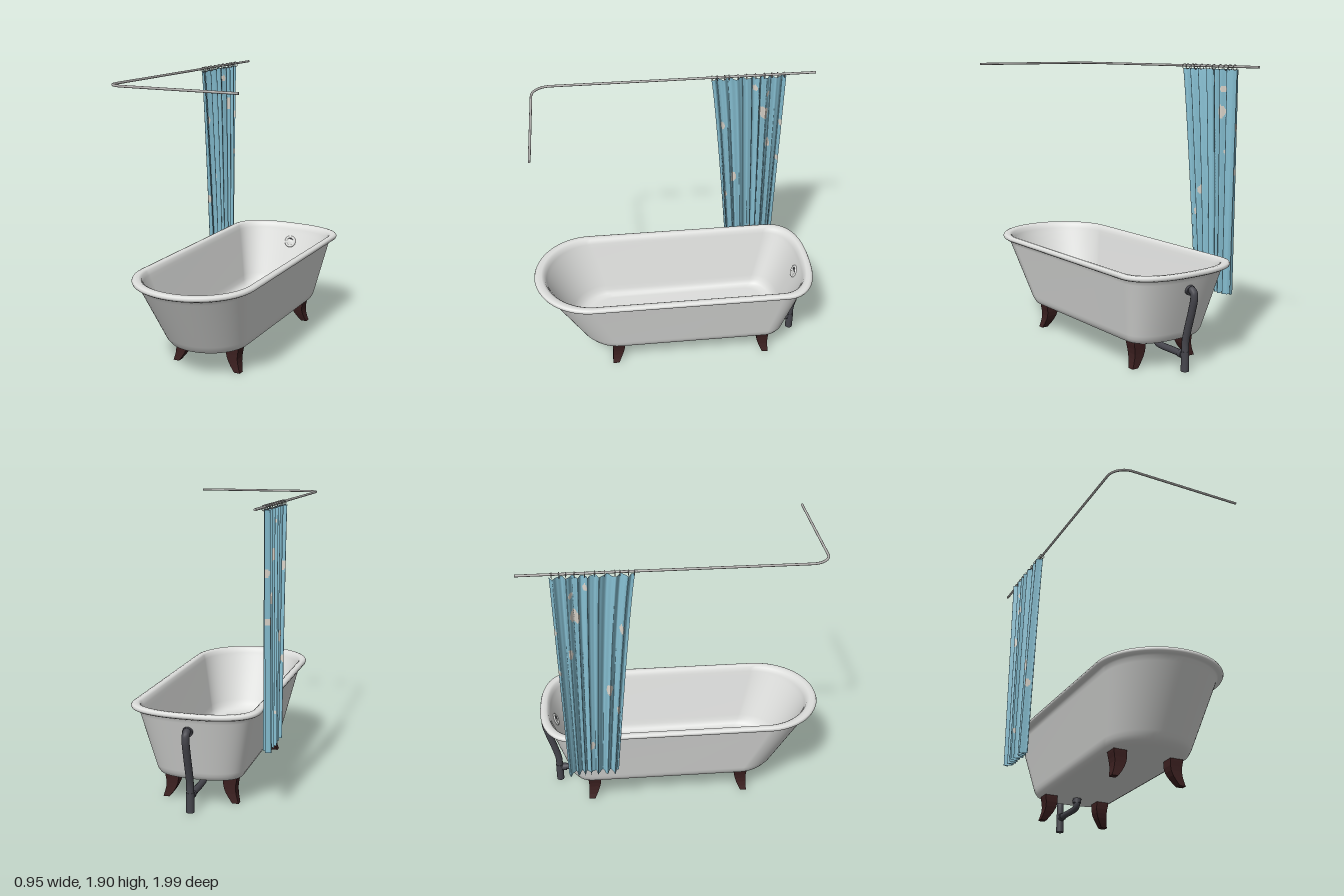
import * as THREE from 'three';

const mat = (name, color, side = THREE.FrontSide) => {
  const m = new THREE.MeshStandardMaterial({ color, side });
  m.name = name;
  return m;
};
const CX = 0.01; // centre line of the tub

export function createModel() {
  const enamel = mat('white enamel', 0xdedfdd);
  const wood = mat('dark wood', 0x3c2020);
  const iron = mat('dark iron', 0x46464d);
  const steel = mat('steel', 0xb4b2b0);
  const cloth = mat('blue cloth', 0x86bfd2, THREE.DoubleSide);
  const spot = mat('beige spots', 0xdcd6cc, THREE.DoubleSide);

  const model = new THREE.Group();
  const add = (name, geometry, material, x = 0, y = 0, z = 0) => {
    const m = new THREE.Mesh(geometry, material);
    m.name = name;
    m.position.set(x, y, z);
    model.add(m);
    return m;
  };

  // Tub: loft from the underside, up the outside, over the rolled rim, down to the floor
  add('tub', tubGeometry([
    // half width, back z, front z, y
    [0.001, -0.05, -0.045, 0.17], [0.23, -0.70, 0.60, 0.17], [0.252, -0.735, 0.635, 0.171],
    [0.275, -0.768, 0.68, 0.183], [0.288, -0.785, 0.703, 0.21], [0.294, -0.793, 0.718, 0.235],
    [0.368, -0.908, 0.935, 0.59], [0.376, -0.917, 0.95, 0.617], [0.385, -0.925, 0.96, 0.624],
    [0.402, -0.942, 0.974, 0.624], [0.415, -0.955, 0.986, 0.632], [0.42, -0.96, 0.99, 0.644],
    [0.414, -0.954, 0.984, 0.656], [0.40, -0.94, 0.968, 0.661], [0.38, -0.918, 0.94, 0.659],
    [0.367, -0.903, 0.92, 0.649], [0.358, -0.892, 0.907, 0.62], [0.352, -0.883, 0.895, 0.59],
    [0.281, -0.765, 0.748, 0.285], [0.273, -0.75, 0.728, 0.25], [0.26, -0.73, 0.70, 0.222],
    [0.24, -0.70, 0.665, 0.211], [0.22, -0.67, 0.63, 0.21], [0.001, -0.05, -0.045, 0.21],
  ]), enamel);

  // Drain and overflow fittings, both a ring around a shallow disc
  const fitting = new THREE.LatheGeometry(
    [[0.045, -0.006], [0.044, 0.004], [0.036, 0.009], [0.029, 0.005], [0.027, 0.002], [0.015, 0.006], [0, 0.007]]
      .map(p => new THREE.Vector2(...p)), 32);
  add('drain', fitting, enamel, CX, 0.212, -0.57);
  add('overflow', fitting, enamel, CX, 0.53, -0.858).rotation.x = 1.2;

  // Four tapered legs, flaring out at the foot
  for (const [sx, z0, dz] of [[1, 0.478, 1], [-1, 0.478, 1], [1, -0.652, -1], [-1, -0.652, -1]]) {
    add('leg', legGeometry(sx, z0, dz), wood, CX);
  }

  // Waste pipes behind and under the tub
  const pipe = (name, pts, r) => add(name, new THREE.TubeGeometry(
    new THREE.CatmullRomCurve3(pts.map(([z, y]) => new THREE.Vector3(CX, y, z))), 48, r, 16), iron);
  pipe('overflowPipe', [[-0.86, 0.53], [-0.9, 0.541], [-0.932, 0.528], [-0.938, 0.49], [-0.918, 0.40],
    [-0.88, 0.27], [-0.862, 0.19], [-0.86, 0.12], [-0.86, 0.06]], 0.024);
  pipe('drainPipe', [[-0.57, 0.18], [-0.57, 0.135], [-0.585, 0.112], [-0.62, 0.105], [-0.74, 0.105], [-0.86, 0.105]], 0.022);
  add('pipeFoot', new THREE.CylinderGeometry(0.026, 0.026, 0.13, 20), iron, CX, 0.065, -0.86);
  add('drainCollar', new THREE.CylinderGeometry(0.03, 0.03, 0.04, 20), iron, CX, 0.16, -0.57);
  add('pipeCollar', new THREE.CylinderGeometry(0.027, 0.027, 0.03, 20), iron, CX, 0.105, -0.825).rotation.x = Math.PI / 2;
  add('overflowCollar', new THREE.CylinderGeometry(0.033, 0.033, 0.03, 20), iron, CX, 0.535, -0.893).rotation.x = 1.35;

  // L-shaped curtain rod with a rounded bend
  const V = (x, z) => new THREE.Vector3(x, 1.89, z);
  const path = new THREE.CurvePath();
  path.add(new THREE.LineCurve3(V(-0.43, -1), V(-0.43, 0.78)));
  path.add(new THREE.CubicBezierCurve3(V(-0.43, 0.78), V(-0.43, 0.846), V(-0.376, 0.9), V(-0.31, 0.9)));
  path.add(new THREE.LineCurve3(V(-0.31, 0.9), V(0.475, 0.9)));
  add('curtainRod', new THREE.TubeGeometry(path, 180, 0.008, 12), steel);
  const cap = new THREE.CircleGeometry(0.008, 12);
  add('rodEnd', cap, steel, -0.43, 1.89, -1).rotation.y = Math.PI;
  add('rodEnd', cap, steel, 0.475, 1.89, 0.9).rotation.y = Math.PI / 2;

  // Rings on the rod
  const ring = new THREE.TorusGeometry(0.017, 0.0025, 6, 20);
  for (const z of [-0.295, -0.33, -0.38, -0.41, -0.47, -0.53, -0.59, -0.65, -0.70, -0.74, -0.785]) {
    add('curtainRing', ring, steel, -0.432, 1.884, z);
  }

  add('curtain', curtainGeometry(), [cloth, spot]);
  return model;
}

// Plan outline: squarish rounded back, straight sides, elliptical front
function tubGeometry(rings) {
  const N = 72, pos = [], idx = [];
  for (const [w, zb, zf, y] of rings) {
    const L = 0.95 * w, d = 0.6 * w;
    for (let j = 0; j < N; j++) {
      // half step keeps the side points clear of the joins
      const t = ((j + 0.5) / N) * Math.PI * 2, c = Math.cos(t), s = Math.sin(t);
      const p = s > 0 ? 1 : 0.8;
      pos.push(CX + w * Math.sign(c) * Math.abs(c) ** p, y,
        s > 0 ? zf - L + L * s : zb + d - d * Math.abs(s) ** p);
    }
  }
  for (let i = 0; i < rings.length - 1; i++) {
    for (let j = 0; j < N; j++) {
      const a = i * N + j, b = i * N + (j + 1) % N, c = a + N, d = b + N;
      idx.push(a, c, b, b, c, d);
    }
  }
  const g = new THREE.BufferGeometry();
  g.setAttribute('position', new THREE.Float32BufferAttribute(pos, 3));
  g.setIndex(idx);
  g.computeVertexNormals();
  return g;
}

// Box narrowed towards the foot, its outer edge bowed inwards
function legGeometry(sx, z0, dz) {
  const box = new THREE.BoxGeometry(1, 1, 1, 1, 6, 1), p = box.attributes.position;
  for (let i = 0; i < p.count; i++) {
    const t = p.getY(i) + 0.5;
    const size = 0.043 + 0.047 * Math.sin(t * Math.PI / 2);
    const bow = 0.016 * Math.sin(Math.PI * Math.min(1, t * 1.1));
    const cx = 0.254 - 0.012 * t - bow - size / 2;
    const cz = z0 - dz * (bow * 0.3 + size / 2);
    p.setXYZ(i, sx * cx + p.getX(i) * size, t * 0.185, cz + p.getZ(i) * size);
  }
  const g = box.toNonIndexed();
  g.computeVertexNormals();
  return g;
}

// Pleated sheet gathered towards the bottom, with spots picked out as a second face group
function curtainGeometry() {
  const U = 140, R = 150, top = 1.873, bottom = 0.4, pos = [], plain = [], spots = [];
  const marks = [ // z, y, half width, half height
    [-0.66, 1.605, 0.03, 0.045], [-0.59, 1.80, 0.012, 0.025], [-0.38, 1.51, 0.012, 0.03],
    [-0.70, 1.35, 0.014, 0.035], [-0.47, 1.075, 0.02, 0.04], [-0.78, 1.22, 0.012, 0.022],
    [-0.418, 0.92, 0.01, 0.03], [-0.68, 1.75, 0.013, 0.02], [-0.785, 1.51, 0.01, 0.022],
    [-0.60, 0.62, 0.016, 0.03],
  ];
  for (let r = 0; r <= R; r++) {
    const v = r / R, y = top + (bottom - top) * v;
    const front = -0.29 - 0.145 * v ** 0.85, back = -0.80 + 0.03 * v;
    for (let i = 0; i <= U; i++) {
      const u = i / U;
      const phase = u * Math.PI * 2 * 7 + 1.1 * Math.sin(u * 9 + 0.5);
      const fold = Math.sin(phase) + 0.25 * Math.sin(2.3 * phase + 1);
      const z = front + (back - front) * u + 0.006 * Math.cos(phase) * Math.sin(Math.PI * u);
      pos.push(-0.439 - 0.008 * v + (0.021 + 0.005 * v) * fold, y, z);
    }
  }
  for (let r = 0; r < R; r++) {
    for (let i = 0; i < U; i++) {
      const a = r * (U + 1) + i, b = a + 1, c = a + U + 1, d = c + 1;
      const y = pos[a * 3 + 1], z = pos[a * 3 + 2];
      const hit = marks.some(m => ((z - m[0]) / m[2]) ** 2 + ((y - m[1]) / m[3]) ** 2 < 1);
      (hit ? spots : plain).push(a, c, b, b, c, d);
    }
  }
  const g = new THREE.BufferGeometry();
  g.setAttribute('position', new THREE.Float32BufferAttribute(pos, 3));
  g.setIndex([...plain, ...spots]);
  g.addGroup(0, plain.length, 0);
  g.addGroup(plain.length, spots.length, 1);
  g.computeVertexNormals();
  return g;
}
